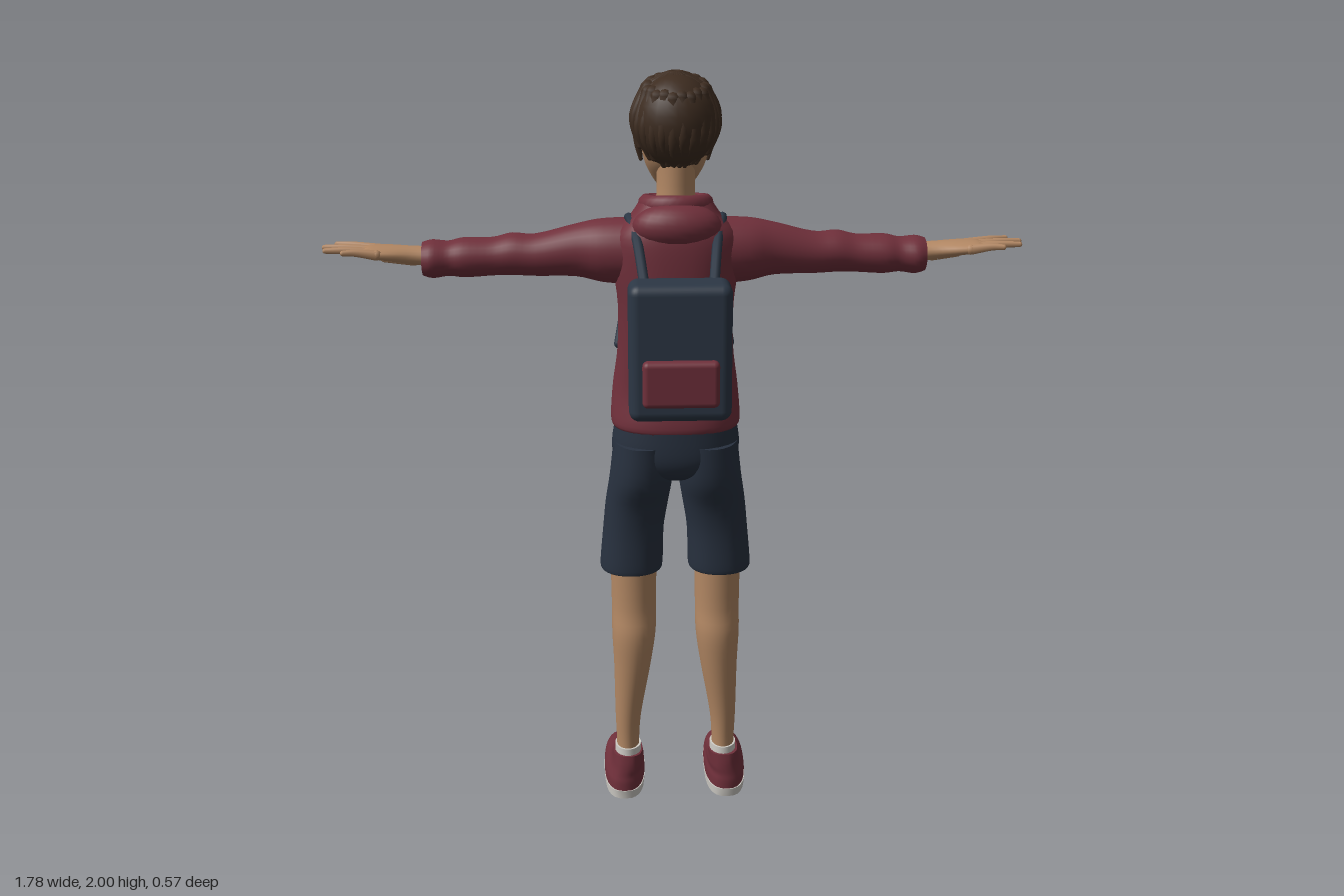
import * as THREE from 'three';
import { mergeGeometries } from 'three/addons/utils/BufferGeometryUtils.js';
import { RoundedBoxGeometry } from 'three/addons/geometries/RoundedBoxGeometry.js';

const mat = (name, color) => {
  const m = new THREE.MeshStandardMaterial({ color });
  m.name = name;
  return m;
};
const V = (p) => new THREE.Vector3(...p);

// Smooth interpolation of section rows [position, centreA, centreB, radiusA, radiusB]
function resample(rows, steps) {
  const out = [];
  for (let i = 0; i < rows.length - 1; i++) {
    const [a, b, c, d] = [-1, 0, 1, 2].map((k) => rows[Math.min(rows.length - 1, Math.max(0, i + k))]);
    for (let s = 0; s < steps; s++) {
      const t = s / steps;
      out.push(b.map((v, k) => v + 0.5 * t * (c[k] - a[k] + t * (2 * a[k] - 5 * v + 4 * c[k] - d[k] + t * (3 * (v - c[k]) + d[k] - a[k])))));
    }
  }
  out.push(rows[rows.length - 1]);
  return out;
}

// Closed body through elliptical sections along y, or along x when alongX is set
function loft(rows, { power = 1, segs = 28, steps = 4, alongX = false } = {}) {
  const r = resample(rows, steps);
  const first = r[0], last = r[r.length - 1];
  const flat = (q) => [q[0], q[1], q[2], 0, 0];
  const rings = [flat(first), first, ...r, last, flat(last)];
  const pos = [], idx = [];
  const bend = (v) => Math.sign(v) * Math.pow(Math.abs(v), power);
  rings.forEach(([s, a, b, ra, rb], i) => {
    for (let j = 0; j < segs; j++) {
      const t = (j / segs) * Math.PI * 2;
      const u = a + ra * bend(Math.cos(t)), w = b + rb * bend(Math.sin(t));
      pos.push(...(alongX ? [s, w, u] : [u, s, w]));
      if (i === rings.length - 1) continue;
      const p = i * segs + j, q = i * segs + ((j + 1) % segs);
      idx.push(p, p + segs, q, q, p + segs, q + segs);
    }
  });
  const g = new THREE.BufferGeometry();
  g.setAttribute('position', new THREE.Float32BufferAttribute(pos, 3));
  g.setIndex(idx);
  g.computeVertexNormals();
  return g;
}

// Tube along a smooth path whose radius runs from r0 to r1, with round ends
function taper(points, r0, r1, segs = 12, sides = 8) {
  const curve = new THREE.CatmullRomCurve3(points.map(V));
  const g = new THREE.TubeGeometry(curve, segs, 1, sides);
  const p = g.attributes.position, v = new THREE.Vector3();
  for (let k = 0; k < p.count; k++) {
    const t = Math.floor(k / (sides + 1)) / segs, c = curve.getPointAt(t);
    v.fromBufferAttribute(p, k).sub(c).multiplyScalar(r0 + (r1 - r0) * t).add(c);
    p.setXYZ(k, v.x, v.y, v.z);
  }
  const ball = (r, c) => new THREE.SphereGeometry(r, 8, 6).translate(...c);
  return mergeGeometries([g, ball(r0, points[0]), ball(r1, points[points.length - 1])]);
}

const blob = (x, y, z, rx, ry, rz) => new THREE.SphereGeometry(1, 24, 16).scale(rx, ry, rz).translate(x, y, z);

function mirrored(geo) {
  const g = geo.clone().scale(-1, 1, 1), ix = g.index.array;
  for (let i = 0; i < ix.length; i += 3) [ix[i], ix[i + 1]] = [ix[i + 1], ix[i]];
  return g;
}

export function createModel() {
  const model = new THREE.Group();
  const red = mat('hoodieRed', 0x70303b), navy = mat('shortsNavy', 0x28313f), pack = mat('packBlue', 0x2c3745);
  const skin = mat('skin', 0xb38864), hair = mat('hairBrown', 0x3d2c20), white = mat('offWhite', 0xcfccc6);
  const grey = mat('wireGrey', 0x8b8d90), black = mat('nearBlack', 0x17181c), iris = mat('irisGreen', 0x4a6a55);
  const lip = mat('lipRose', 0x8f5c4c);

  const add = (name, geo, material) => {
    const m = new THREE.Mesh(geo, material);
    m.name = name;
    model.add(m);
  };
  const pair = (name, geo, material) => {
    add(name + 'PlusX', geo, material);
    add(name + 'MinusX', mirrored(geo), material);
  };

  // Hoodie body, collar and lowered hood
  add('hoodieBody', loft([
    [1.095, 0, -0.037, 0.158, 0.116], [1.115, 0, -0.04, 0.168, 0.126], [1.2, 0, -0.057, 0.162, 0.132],
    [1.3, 0, -0.044, 0.149, 0.133], [1.42, 0, -0.028, 0.147, 0.127], [1.52, 0, -0.022, 0.158, 0.122],
    [1.6, 0, -0.012, 0.155, 0.106], [1.65, 0, -0.012, 0.112, 0.088], [1.69, 0, -0.017, 0.085, 0.068],
  ], { power: 0.87, segs: 36 }), red);
  add('collar', new THREE.TorusGeometry(0.075, 0.02, 10, 32).rotateX(Math.PI / 2).scale(1, 1.3, 0.92)
    .rotateX(-0.12).translate(0, 1.672, -0.02), red);
  add('hood', blob(0, 1.63, 0.045, 0.11, 0.058, 0.062), red);

  // Sleeves
  pair('sleeve', loft([
    [0.08, -0.02, 1.555, 0.08, 0.085], [0.18, -0.03, 1.556, 0.077, 0.08], [0.25, -0.036, 1.556, 0.062, 0.066],
    [0.35, -0.045, 1.543, 0.056, 0.053], [0.41, -0.054, 1.544, 0.059, 0.053], [0.46, -0.055, 1.538, 0.054, 0.048],
    [0.53, -0.055, 1.536, 0.056, 0.05], [0.57, -0.055, 1.534, 0.05, 0.044], [0.61, -0.055, 1.533, 0.058, 0.048],
    [0.635, -0.055, 1.533, 0.05, 0.042],
  ], { alongX: true }), red);

  // Hands
  pair('palm', loft([
    [0.6, -0.055, 1.538, 0.032, 0.025], [0.66, -0.055, 1.543, 0.035, 0.023], [0.72, -0.052, 1.55, 0.049, 0.019],
    [0.765, -0.046, 1.554, 0.05, 0.015], [0.785, -0.045, 1.555, 0.035, 0.009],
  ], { alongX: true, segs: 18 }), skin);
  [[-0.083, 0.862, -0.112], [-0.058, 0.888, -0.073], [-0.033, 0.88, -0.032], [-0.008, 0.832, 0.0]].forEach(([z, tx, tz], i) =>
    pair('finger' + (i + 1), taper([[0.745, 1.553, z], [(0.745 + tx) / 2 + 0.01, 1.56, (z + tz) / 2], [tx - 0.006, 1.56, tz]], 0.0135, 0.007), skin));
  pair('thumb', taper([[0.66, 1.535, -0.07], [0.7, 1.52, -0.125], [0.75, 1.506, -0.18]], 0.023, 0.009), skin);

  // Shorts
  add('shortsHips', loft([
    [0.96, 0, -0.035, 0.06, 0.07], [0.985, 0, -0.035, 0.13, 0.105], [1.03, 0, -0.032, 0.166, 0.118], [1.11, 0, -0.032, 0.158, 0.116],
  ], { power: 0.9 }), navy);
  pair('shortsLeg', loft([
    [0.688, 0.118, -0.057, 0.08, 0.085], [0.7, 0.118, -0.057, 0.084, 0.09], [0.8, 0.112, -0.055, 0.081, 0.089],
    [0.88, 0.102, -0.05, 0.083, 0.097], [0.96, 0.09, -0.038, 0.083, 0.116], [1.06, 0.082, -0.032, 0.08, 0.118],
  ], { power: 0.92 }), navy);

  // Legs, socks and shoes
  pair('leg', loft([
    [0.1, 0.133, -0.048, 0.031, 0.041], [0.16, 0.133, -0.048, 0.031, 0.041], [0.25, 0.131, -0.042, 0.036, 0.044],
    [0.4, 0.119, -0.034, 0.05, 0.055], [0.5, 0.114, -0.031, 0.059, 0.06], [0.58, 0.113, -0.042, 0.06, 0.062],
    [0.72, 0.113, -0.045, 0.062, 0.066],
  ]), skin);
  pair('sock', loft([[0.1, 0.133, -0.048, 0.037, 0.047], [0.148, 0.133, -0.048, 0.036, 0.046]], { steps: 1 }), white);
  pair('sole', loft([[0, 0.143, -0.135, 0.056, 0.147], [0.025, 0.143, -0.135, 0.058, 0.15]], { power: 0.75, steps: 1 }), white);
  pair('shoe', loft([
    [0.024, 0.143, -0.135, 0.057, 0.148], [0.048, 0.143, -0.134, 0.056, 0.147], [0.066, 0.142, -0.124, 0.051, 0.135],
    [0.085, 0.138, -0.09, 0.046, 0.1], [0.105, 0.136, -0.064, 0.042, 0.072], [0.128, 0.134, -0.05, 0.041, 0.054],
  ], { power: 0.8 }), red);

  // Backpack
  add('backpack', new RoundedBoxGeometry(0.25, 0.34, 0.11, 4, 0.026).translate(0, 1.36, 0.205), pack);
  add('backpackPocket', new RoundedBoxGeometry(0.186, 0.116, 0.034, 4, 0.014).translate(0, 1.293, 0.272), red);
  pair('strap', taper([
    [0.082, 1.5, 0.19], [0.1, 1.605, 0.065], [0.115, 1.64, -0.01], [0.118, 1.61, -0.09], [0.118, 1.53, -0.142],
    [0.12, 1.45, -0.155], [0.13, 1.37, -0.14], [0.145, 1.29, -0.112],
  ], 0.0125, 0.0125, 40), pack);

  // Drawstrings and chest emblem outline
  pair('drawstring', taper([[0.045, 1.59, -0.142], [0.05, 1.48, -0.155], [0.052, 1.36, -0.182]], 0.0035, 0.0035), white);
  add('chestOutline', new THREE.TorusGeometry(0.034, 0.005, 6, 6).scale(1.1, 0.75, 1).translate(0, 1.36, -0.168), black);

  // Neck, head and face
  add('neck', loft([[1.62, 0, -0.015, 0.062, 0.06], [1.7, 0, -0.018, 0.048, 0.055], [1.8, 0, -0.02, 0.05, 0.056]]), skin);
  add('head', loft([
    [1.695, 0, -0.105, 0.022, 0.03], [1.705, 0, -0.098, 0.038, 0.047], [1.735, 0, -0.082, 0.059, 0.069],
    [1.78, 0, -0.06, 0.078, 0.092], [1.85, 0, -0.045, 0.089, 0.103], [1.91, 0, -0.038, 0.088, 0.1], [1.955, 0, -0.03, 0.05, 0.06],
  ], { power: 0.94 }), skin);
  add('nose', taper([[0, 1.84, -0.143], [0, 1.81, -0.155], [0, 1.79, -0.159]], 0.008, 0.013), skin);
  add('mouth', blob(0, 1.75, -0.15, 0.024, 0.005, 0.006), lip);
  pair('eye', blob(0.038, 1.837, -0.14, 0.017, 0.01, 0.008), white);
  pair('iris', blob(0.038, 1.837, -0.146, 0.008, 0.008, 0.004), iris);
  pair('pupil', blob(0.038, 1.837, -0.149, 0.004, 0.004, 0.002), black);
  pair('brow', taper([[0.018, 1.868, -0.147], [0.04, 1.875, -0.141], [0.062, 1.867, -0.124]], 0.005, 0.003), hair);

  // Glasses
  pair('glassesRim', new THREE.TorusGeometry(0.029, 0.0025, 6, 28).scale(1.1, 0.85, 1).translate(0.04, 1.834, -0.165), grey);
  pair('glassesTemple', taper([[0.072, 1.84, -0.163], [0.09, 1.842, -0.12], [0.094, 1.84, -0.05]], 0.0025, 0.0025), grey);
  add('glassesBridge', taper([[-0.009, 1.838, -0.165], [0, 1.841, -0.167], [0.009, 1.838, -0.165]], 0.0025, 0.0025), grey);

  // Hair: a cap covered with locks that fan out from the crown
  add('hairCap', blob(0, 1.878, 0, 0.103, 0.112, 0.098), hair);
  const locks = [];
  const count = 26;
  for (let i = 0; i < count; i++) {
    const a = ((i + 0.5) / count) * Math.PI * 2;
    const back = Math.cos(a);
    const end = (back > 0 ? 112 + 38 * back : 112 + 36 * back) + (i % 2 ? 5 : -3);
    const path = [8, 0.35 * end, 0.7 * end, end].map((deg) => {
      const t = THREE.MathUtils.degToRad(deg);
      return [0.102 * Math.sin(t) * Math.sin(a), 1.872 + 0.112 * Math.cos(t), -0.024 + 0.112 * Math.sin(t) * back];
    });
    locks.push(taper(path, 0.014, 0.006, 14));
    // A wider middle keeps neighbouring locks touching
    locks.push(taper(path.slice(1, 3).concat([path[3]]), 0.019, 0.008, 10));
  }
  add('hairLocks', mergeGeometries(locks), hair);
  pair('sideburn', taper([[0.092, 1.87, -0.09], [0.091, 1.81, -0.095], [0.084, 1.772, -0.1]], 0.016, 0.005), hair);

  return model;
}
